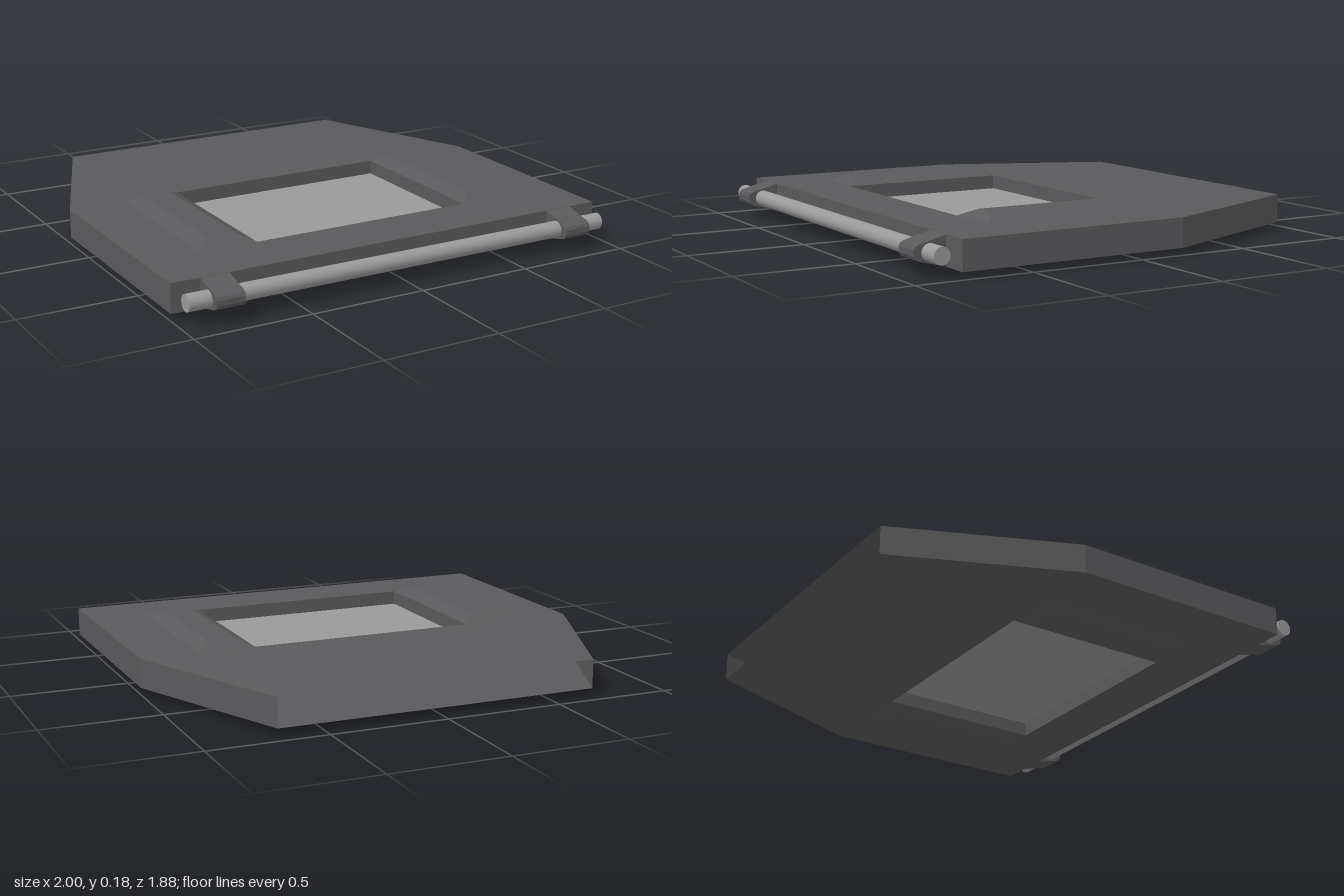
import * as THREE from 'three';

const Y0 = 0.03, Y1 = 0.153, MID = 0.0915;

const plateMat = new THREE.MeshStandardMaterial({ name: 'dark grey plate', color: 0x5a5a5c, side: THREE.DoubleSide });
const lightMat = new THREE.MeshStandardMaterial({ name: 'light grey metal', color: 0x9a9a9a, side: THREE.DoubleSide });

// Plan points are [x, z]
const outline = [[-0.69, -0.94], [-1, -0.195], [-1, 0.805], [1, 0.805], [1, -0.195], [0.69, -0.94]];
const opening = [[-0.5, -0.195], [0.5, -0.195], [0.5, 0.553], [-0.5, 0.553]];

const toPoints = (list) => list.map(([x, z]) => new THREE.Vector2(x, -z));

function add(parent, name, geometry, material) {
  const mesh = new THREE.Mesh(geometry, material);
  mesh.name = name;
  parent.add(mesh);
  return mesh;
}

// Upright walls along a run of plan points
function walls(list, closed) {
  const pos = [];
  const count = closed ? list.length : list.length - 1;
  for (let i = 0; i < count; i++) {
    const [ax, az] = list[i];
    const [bx, bz] = list[(i + 1) % list.length];
    pos.push(ax, Y0, az, bx, Y0, bz, bx, Y1, bz);
    pos.push(ax, Y0, az, bx, Y1, bz, ax, Y1, az);
  }
  const g = new THREE.BufferGeometry();
  g.setAttribute('position', new THREE.Float32BufferAttribute(pos, 3));
  g.computeVertexNormals();
  return g;
}

// Low block whose upper face is drawn in on all sides
function bevelledPad(w, h, d, inset) {
  const g = new THREE.BoxGeometry(w, h, d).toNonIndexed();
  const p = g.attributes.position;
  for (let i = 0; i < p.count; i++) {
    if (p.getY(i) > 0) {
      p.setX(i, p.getX(i) - Math.sign(p.getX(i)) * inset);
      p.setZ(i, p.getZ(i) - Math.sign(p.getZ(i)) * inset);
    }
  }
  g.translate(0, h / 2, 0);
  g.computeVertexNormals();
  return g;
}

export function createModel() {
  const model = new THREE.Group();
  model.name = 'hingedHatch';

  // Hollow plate, open along its rear edge
  const body = new THREE.Group();
  body.name = 'plate';
  model.add(body);
  const shape = new THREE.Shape(toPoints(outline));
  shape.holes.push(new THREE.Path(toPoints(opening)));
  const top = new THREE.ShapeGeometry(shape).rotateX(-Math.PI / 2);
  add(body, 'plateTop', top, plateMat).position.y = Y1;

  const bottom = top.clone();
  const index = Array.from(bottom.index.array).reverse();
  bottom.setIndex(index);
  bottom.computeVertexNormals();
  add(body, 'plateBottom', bottom, plateMat).position.y = Y0;

  add(body, 'plateSides', walls(outline, false), plateMat);
  add(body, 'openingSides', walls(opening, true), plateMat);

  // Recessed panel halfway through the plate
  const panel = new THREE.PlaneGeometry(1, 0.748).rotateX(-Math.PI / 2);
  add(model, 'panel', panel, lightMat).position.set(0, MID, 0.179);

  // Raised pads beside the opening, and hinge brackets
  const padGeo = bevelledPad(0.25, 0.03, 0.748, 0.062);
  const profile = new THREE.Shape([
    [0.8, Y0], [0.92, 0.06], [0.934, 0.068], [0.94, 0.08],
    [0.94, 0.103], [0.934, 0.115], [0.92, 0.123], [0.8, Y1],
  ].map(([z, y]) => new THREE.Vector2(-z, y)));
  const bracketGeo = new THREE.ExtrudeGeometry(profile, { depth: 0.123, bevelEnabled: false });
  bracketGeo.translate(0, 0, -0.0615).rotateY(Math.PI / 2);

  for (const [side, label] of [[1, 'left'], [-1, 'right']]) {
    add(model, label + 'UpperPad', padGeo, plateMat).position.set(side * 0.625, Y1, 0.179);
    const lower = add(model, label + 'LowerPad', padGeo, plateMat);
    lower.position.set(side * 0.625, Y0, 0.179);
    lower.rotation.x = Math.PI;
    add(model, label + 'HingeBracket', bracketGeo, plateMat).position.x = side * 0.8145;
  }

  // Hinge rod
  const rod = new THREE.CylinderGeometry(0.035, 0.035, 1.944, 32).rotateZ(Math.PI / 2);
  add(model, 'hingeRod', rod, lightMat).position.set(0, MID, 0.873);

  return model;
}
